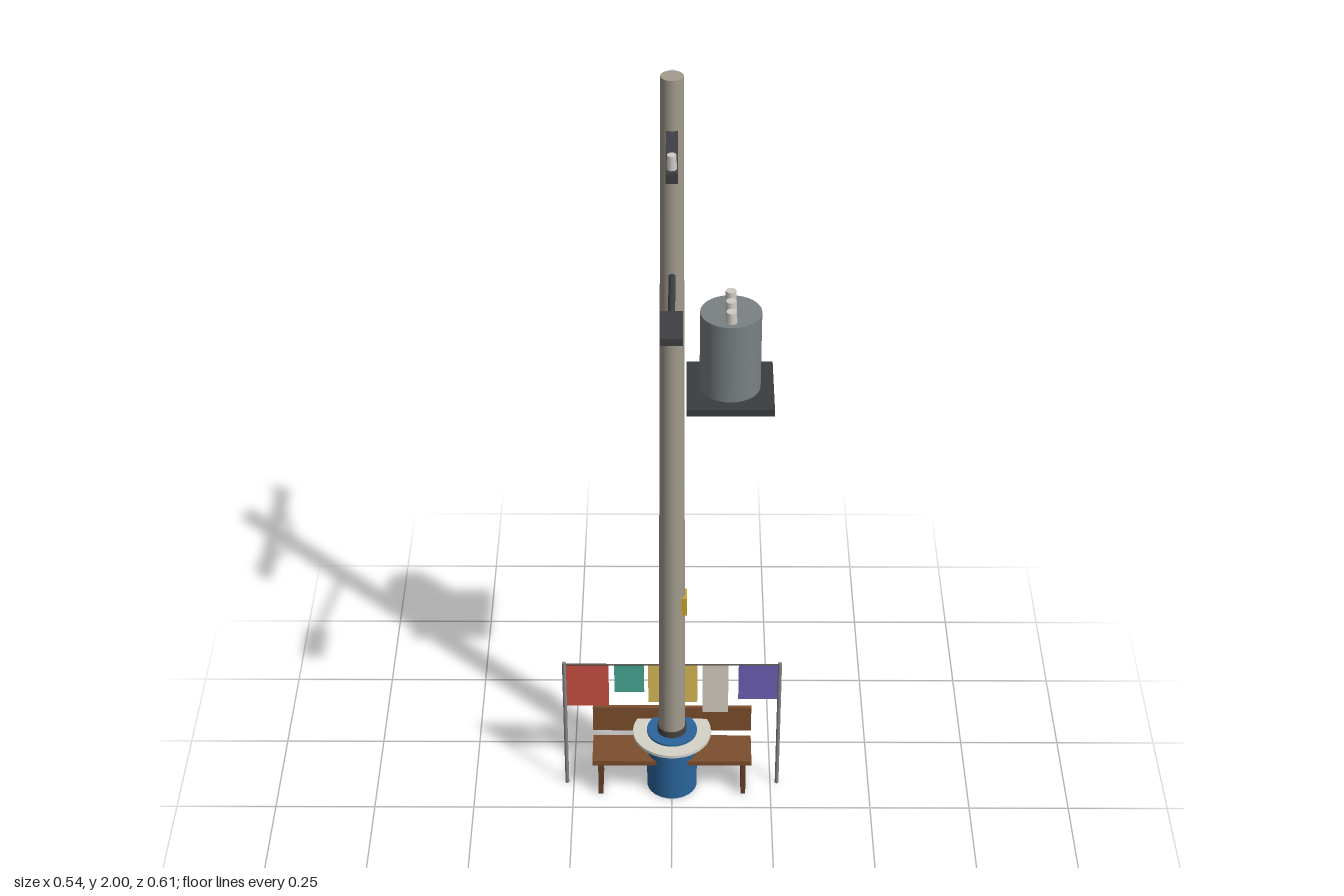
import * as THREE from 'three';

const PZ = -0.096; // depth of the pole axis

export function createModel() {
  const root = new THREE.Group();
  const mats = {};
  const mat = (color, double) => {
    const key = color + (double ? 'd' : '');
    return (mats[key] ??= new THREE.MeshStandardMaterial({ color, side: double ? THREE.DoubleSide : THREE.FrontSide }));
  };
  const add = (name, geo, color, x, y, z, double) => {
    const m = new THREE.Mesh(geo, mat(color, double));
    m.name = name;
    m.position.set(x, y, z);
    root.add(m);
    return m;
  };
  // box given by its min and max corners
  const box = (name, color, [x0, y0, z0], [x1, y1, z1]) =>
    add(name, new THREE.BoxGeometry(x1 - x0, y1 - y0, z1 - z0), color, (x0 + x1) / 2, (y0 + y1) / 2, (z0 + z1) / 2);
  // upright cylinder from y0 to y1
  const cyl = (name, color, rTop, rBottom, y0, y1, x, z, seg = 24) =>
    add(name, new THREE.CylinderGeometry(rTop, rBottom, y1 - y0, seg), color, x, (y0 + y1) / 2, z);
  // square or round bar between two points
  const bar = (name, color, a, b, r, seg) => {
    const p = new THREE.Vector3(...a), d = new THREE.Vector3(...b).sub(p);
    const m = cyl(name, color, r, r, 0, d.length(), 0, 0, seg);
    m.position.copy(p).addScaledVector(d, 0.5);
    m.quaternion.setFromUnitVectors(new THREE.Vector3(0, 1, 0), d.normalize());
    return m;
  };

  const dark = 0x3e4043, wood = 0x7d4e2d, ceramic = 0xd0cdc6;

  // Utility pole
  cyl('pole', 0xa39c8e, 0.025, 0.034, 0, 2, 0, PZ);

  // Crossarm with braces and insulators
  box('crossarm', dark, [-0.013, 1.857, PZ - 0.21], [0.013, 1.881, PZ + 0.21]);
  for (const s of [-1, 1]) {
    bar('crossarmBrace', dark, [0, 1.77, PZ + s * 0.02], [0, 1.862, PZ + s * 0.14], 0.006, 8);
    cyl('crossarmInsulator', ceramic, 0.01, 0.011, 1.88, 1.914, 0, PZ + s * 0.189, 12);
  }

  // Street lamp
  bar('lampArm', dark, [0, 1.517, PZ + 0.015], [0, 1.587, 0.212], 0.008, 10);
  box('lampHead', dark, [-0.024, 1.577, 0.194], [0.024, 1.595, 0.303]);
  box('lampLens', 0xe0d8b8, [-0.018, 1.573, 0.205], [0.018, 1.578, 0.295]);

  // Transformer on its platform
  box('transformerPlatform', 0x3b3d40, [0.033, 1.196, PZ - 0.1], [0.233, 1.214, PZ + 0.1]);
  cyl('transformerTank', 0x7b8284, 0.07, 0.07, 1.214, 1.413, 0.133, PZ, 32);
  for (const s of [-1, 0, 1])
    cyl('transformerBushing', ceramic, 0.012, 0.013, 1.412, 1.441, 0.133, PZ + s * 0.0445, 12);

  // Meter box
  box('meterBox', 0xc9a227, [0.015, 0.558, PZ - 0.021], [0.036, 0.609, PZ + 0.021]);

  // Drum around the pole foot, with a thin round tabletop
  cyl('drum', 0x2a659c, 0.063, 0.063, 0, 0.179, 0, PZ, 32);
  cyl('tabletop', 0xd6d3c8, 0.098, 0.098, 0.166, 0.174, 0, PZ, 40);
  cyl('poleCollar', 0x45423d, 0.036, 0.037, 0.178, 0.196, 0, PZ);

  // Bench
  box('benchSeat', wood, [-0.2, 0.099, -0.147], [0.2, 0.113, -0.047]);
  box('benchBack', wood, [-0.2, 0.135, -0.15], [0.2, 0.21, -0.14]);
  for (const s of [-1, 1])
    box('benchLeg', 0x65402a, [s * 0.18 - 0.006, 0, -0.142], [s * 0.18 + 0.006, 0.1, -0.052]);

  // Flag line: two posts, a cord and hanging flags
  for (const s of [-1, 1]) cyl('flagPost', 0x85888a, 0.005, 0.005, 0, 0.392, s * 0.267, PZ, 10);
  bar('flagCord', 0x55504a, [-0.267, 0.387, PZ], [0.267, 0.387, PZ], 0.002, 6);
  const flags = [
    [-0.264, -0.157, 0.255, 0xc94f42],
    [-0.143, -0.069, 0.299, 0x47a894],
    [-0.059, 0.063, 0.267, 0xd8b957],
    [0.076, 0.14, 0.235, 0xd6d0c2],
    [0.165, 0.264, 0.278, 0x6d5fb5],
  ];
  for (const [x0, x1, y0, color] of flags)
    box('flag', color, [x0, y0, PZ - 0.001], [x1, 0.387, PZ + 0.001]);

  return root;
}
